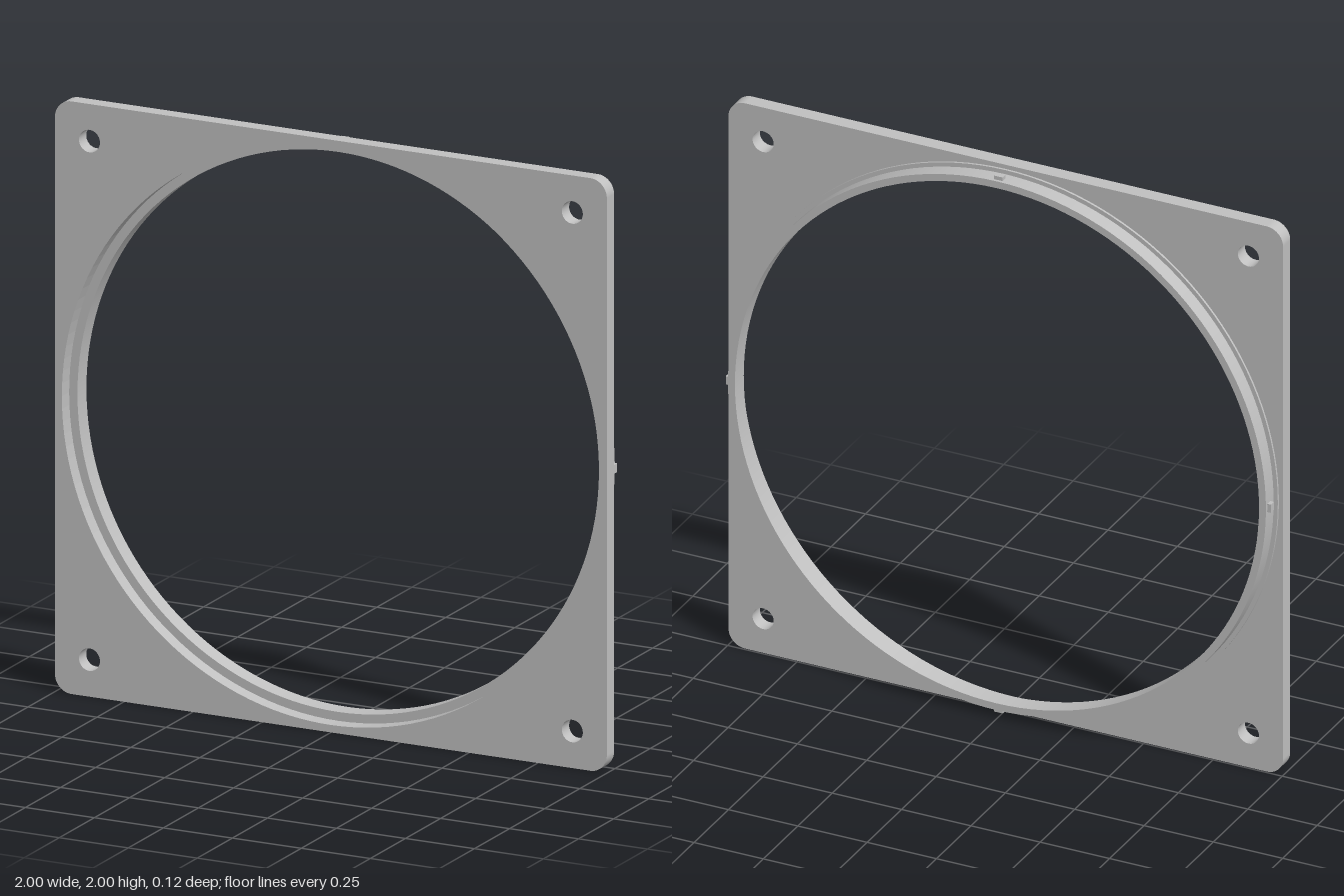
import * as THREE from 'three';
import { mergeGeometries } from 'three/addons/utils/BufferGeometryUtils.js';

// Revolve a closed profile of [radius, z] about the z axis, keeping its corners sharp
function revolve(profile, segments) {
  const bands = profile.map((p, i) => {
    const q = profile[(i + 1) % profile.length];
    return new THREE.LatheGeometry([new THREE.Vector2(...p), new THREE.Vector2(...q)], segments);
  });
  return mergeGeometries(bands).rotateX(Math.PI / 2);
}

function circleHole(x, y, r) {
  return new THREE.Path().absarc(x, y, r, 0, Math.PI * 2, true);
}

export function createModel() {
  const model = new THREE.Group();
  const grey = new THREE.MeshStandardMaterial({ color: 0xc0c0c0 });
  grey.name = 'light grey';

  const add = (geometry, name) => {
    const mesh = new THREE.Mesh(geometry, grey);
    mesh.name = name;
    mesh.position.y = 1;
    model.add(mesh);
    return mesh;
  };

  // Square plate with rounded corners, a large opening and four screw holes
  const c = 0.06, e = 1 - c;
  const outline = new THREE.Shape();
  [[e, e], [-e, e], [-e, -e], [e, -e]].forEach(([x, y], i) =>
    outline.absarc(x, y, c, i * Math.PI / 2, (i + 1) * Math.PI / 2, false));
  outline.closePath();
  outline.holes.push(circleHole(0, 0, 0.975));
  for (const x of [-0.875, 0.875])
    for (const y of [-0.875, 0.875]) outline.holes.push(circleHole(x, y, 0.038));
  const plate = new THREE.ExtrudeGeometry(outline, { depth: 0.052, bevelEnabled: false, curveSegments: 72 });
  add(plate.translate(0, 0, 0.006), 'mountingPlate');

  // Collar behind the plate, with a thin flange where they meet
  add(revolve([
    [0.945, -0.058], [0.97, -0.058], [0.97, -0.002], [0.985, -0.002],
    [0.985, 0.006], [0.945, 0.006],
  ], 144), 'collar');

  // Four small locking nubs around the collar
  for (let i = 0; i < 4; i++) {
    const nub = new THREE.BoxGeometry(0.022, 0.03, 0.022);
    nub.translate(0.972, 0, -0.037).rotateZ(i * Math.PI / 2);
    add(nub, 'lockingNub');
  }

  return model;
}
